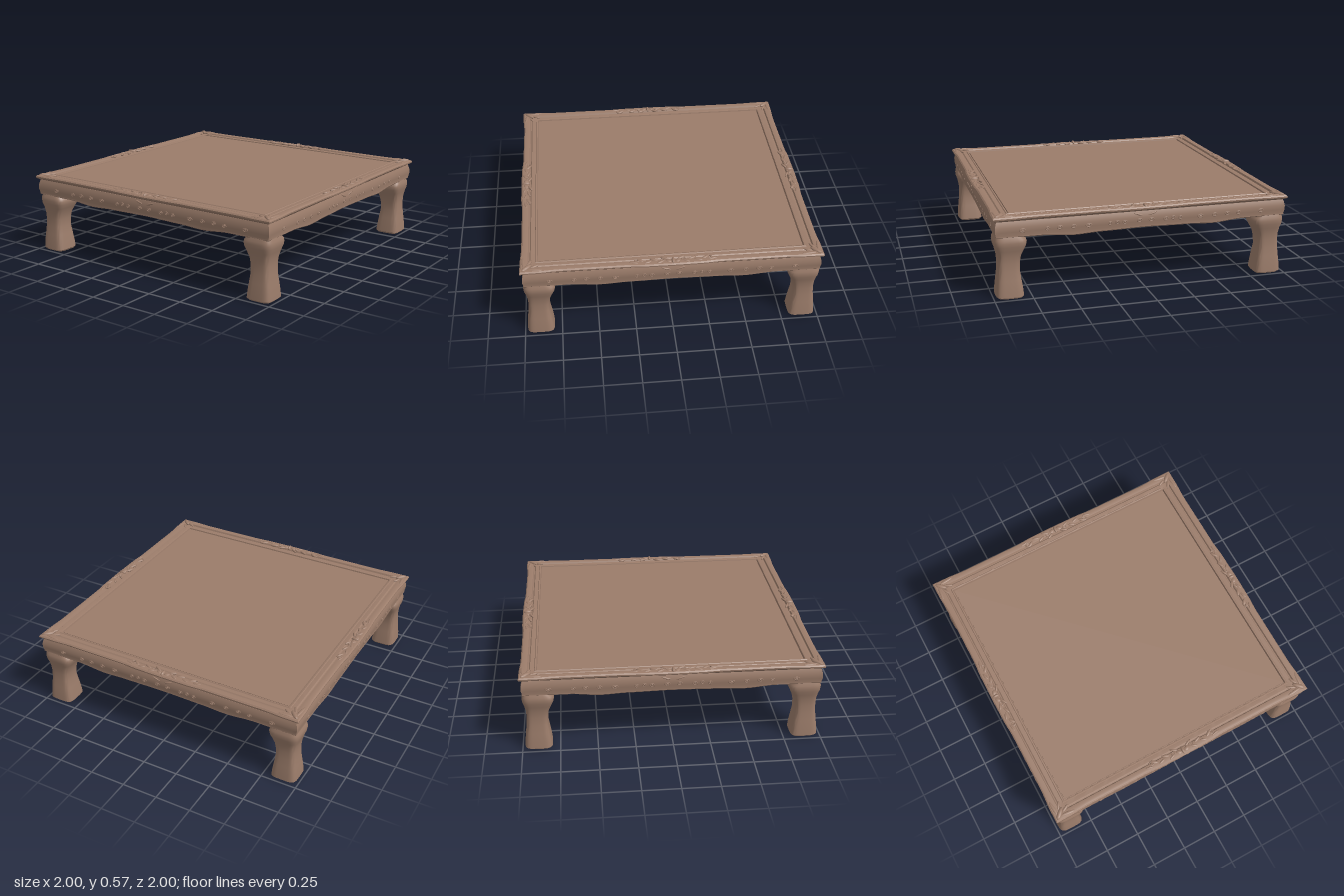
import * as THREE from 'three';
import { toCreasedNormals } from 'three/addons/utils/BufferGeometryUtils.js';

const wood = new THREE.MeshStandardMaterial({ color: 0x9b7c6a });
wood.name = 'brown wood';

function part(name, geometry, parent) {
  const mesh = new THREE.Mesh(geometry, wood);
  mesh.name = name;
  parent.add(mesh);
  return mesh;
}

function build(positions, index, crease) {
  const g = new THREE.BufferGeometry();
  g.setAttribute('position', new THREE.Float32BufferAttribute(positions, 3));
  g.setIndex(index);
  return toCreasedNormals(g, crease);
}

// Sweeps a profile of [distance, height] points round a mitred square;
// the profile may change along each side (u runs from -1 to 1)
function squareRing(profile, steps) {
  const pos = [], idx = [];
  for (let side = 0; side < 4; side++) {
    const c = Math.round(Math.cos(side * Math.PI / 2)), s = Math.round(Math.sin(side * Math.PI / 2));
    for (let i = 0; i <= steps; i++) {
      const u = -1 + 2 * i / steps, pts = profile(u), m = pts.length;
      pts.forEach(([d, y], j) => {
        const x = u * d, a = pos.length / 3;
        pos.push(x * c + d * s, y, -x * s + d * c);
        if (i < steps && j < m - 1) idx.push(a, a + 1, a + m, a + 1, a + m + 1, a + m);
      });
    }
  }
  return build(pos, idx, 0.5);
}

// Smooth interpolation through [x, value] points
function ease(points, x) {
  for (let i = 1; i < points.length; i++) {
    const [x0, a] = points[i - 1], [x1, b] = points[i];
    if (x <= x1) return a + (b - a) * THREE.MathUtils.smoothstep(x, x0, x1);
  }
  return points[points.length - 1][1];
}

const SCALLOP = [[0, 0.408], [0.3, 0.403], [0.48, 0.395], [0.7, 0.411], [1, 0.411]];
const EDGE = [[0, 1], [0.18, 0.998], [0.32, 0.99], [0.75, 0.989], [0.9, 0.997], [1, 0.998]];

// Moulded border of the top, with a gently waving outer edge
function borderProfile(u) {
  const e = ease(EDGE, Math.abs(u));
  return [[0.86, 0.53], [0.88, 0.53], [0.884, 0.547], [0.893, 0.549], [0.897, 0.544], [0.925, 0.545],
    [0.932, 0.538], [0.938, 0.538], [0.944, 0.55], [0.965, 0.554], [e - 0.008, 0.551],
    [e, 0.543], [e - 0.001, 0.534], [e - 0.01, 0.527], [0.972, 0.518], [0.96, 0.515]];
}

// Apron with a scalloped lower edge and a sloping inner face
function apronProfile(u) {
  const b = ease(SCALLOP, Math.abs(u));
  return [[0.96, 0.522], [0.974, 0.518], [0.979, 0.505], [0.985, 0.48], [0.985, 0.45],
    [0.979, 0.425], [0.98, b + 0.006], [0.975, b], [0.955, b], [0.84, 0.457]];
}

// Leg: rounded-square sections as [height, half width, distance of centre]
const LEG = [[0, 0.05, 0.89], [0, 0.08, 0.89], [0.008, 0.083, 0.89], [0.012, 0.091, 0.892], [0.06, 0.087, 0.893],
  [0.12, 0.079, 0.894], [0.18, 0.071, 0.895], [0.235, 0.071, 0.893], [0.28, 0.077, 0.89],
  [0.32, 0.091, 0.885], [0.35, 0.103, 0.883], [0.375, 0.107, 0.882], [0.395, 0.103, 0.884],
  [0.412, 0.09, 0.89], [0.45, 0.08, 0.89]];

function legGeometry(sx, sz) {
  const pos = [], idx = [], n = 40;
  const round = v => Math.sign(v) * Math.pow(Math.abs(v), 0.45);
  LEG.forEach(([y, h, c], r) => {
    for (let i = 0; i < n; i++) {
      const a = i / n * Math.PI * 2;
      pos.push(sx * c + h * round(Math.cos(a)), y, sz * c + h * round(Math.sin(a)));
      const k = r * n + i, k1 = r * n + (i + 1) % n;
      if (r < LEG.length - 1) idx.push(k, k + n, k1, k1, k + n, k1 + n);
    }
  });
  // Sole
  const mid = pos.length / 3;
  pos.push(sx * 0.89, 0.006, sz * 0.89);
  for (let i = 0; i < n; i++) idx.push(mid, i, (i + 1) % n);
  return build(pos, idx, 0.7);
}

const bead = new THREE.SphereGeometry(1, 12, 8);
const curl = new THREE.TorusGeometry(0.75, 0.25, 6, 16);

// Carved shape as a flattened bead or curl
function carve(name, parent, geometry, p, scale, rotation = [0, 0, 0]) {
  const m = part(name, geometry, parent);
  m.position.set(...p);
  m.scale.set(...scale);
  m.rotation.set(...rotation);
}

// Carvings of one side, facing +z
function sideCarving() {
  const g = new THREE.Group();
  g.name = 'sideCarving';
  for (const s of [-1, 1]) {
    // Rosettes on the apron
    for (const [x, y, w] of [[0.04, 0.46, 0.02], [0.14, 0.456, 0.018], [0.19, 0.46, 0.015], [0.24, 0.456, 0.015],
      [0.38, 0.455, 0.023], [0.48, 0.456, 0.019], [0.57, 0.458, 0.02], [0.65, 0.456, 0.018], [0.81, 0.457, 0.022]]) {
      carve('rosetteRing', g, curl, [s * x, y, 0.985], [w, 0.014, 0.012]);
      carve('rosetteHeart', g, bead, [s * x, y, 0.985], [w * 0.4, 0.006, 0.004]);
    }
    // Leaves above the middle rosettes
    carve('apronLeaf', g, bead, [s * 0.045, 0.498, 0.98], [0.035, 0.006, 0.006], [0, 0, s * 0.3]);
    // Scrolls and leaves in the middle of the border
    for (const [x, z, w, d, turn] of [[0.03, 0.965, 0.022, 0.016, 0.5], [0.055, 0.935, 0.03, 0.009, 0.5],
      [0.085, 0.972, 0.028, 0.01, -0.4], [0.125, 0.945, 0.03, 0.01, 0.4], [0.165, 0.967, 0.03, 0.01, -0.3],
      [0.215, 0.945, 0.03, 0.012, 0.6], [0.26, 0.965, 0.035, 0.008, 0.2]])
      carve('borderLeaf', g, bead, [s * x, 0.549, z], [w, 0.009, d], [0, s * turn, 0]);
    carve('borderScroll', g, curl, [s * 0.07, 0.551, 0.955], [0.018, 0.014, 0.02], [Math.PI / 2, 0, 0]);
    carve('borderScroll', g, curl, [s * 0.235, 0.55, 0.945], [0.022, 0.018, 0.02], [Math.PI / 2, 0, 0]);
    // Long leaves running out of the corner
    carve('cornerLeaf', g, bead, [s * 0.9, 0.55, 0.972], [0.055, 0.008, 0.012], [0, s * 0.1, 0]);
    carve('cornerLeaf', g, bead, [s * 0.9, 0.547, 0.935], [0.035, 0.008, 0.01], [0, -s * 0.5, 0]);
  }
  carve('borderShell', g, bead, [0, 0.55, 0.965], [0.012, 0.016, 0.028]);
  // Leaf over the mitred corner
  carve('cornerBoss', g, bead, [0.95, 0.552, 0.95], [0.045, 0.013, 0.016], [0, -Math.PI / 4, 0]);
  return g;
}

export function createModel() {
  const table = new THREE.Group();
  table.name = 'lowTable';

  const panel = part('topPanel', new THREE.BoxGeometry(1.75, 0.085, 1.75), table);
  panel.position.y = 0.4995;
  part('topBorder', squareRing(borderProfile, 64), table);
  part('apron', squareRing(apronProfile, 64), table);

  for (let i = 0; i < 4; i++) {
    const carving = sideCarving();
    carving.rotation.y = i * Math.PI / 2;
    table.add(carving);
  }
  for (const sx of [-1, 1]) for (const sz of [-1, 1]) part('leg', legGeometry(sx, sz), table);
  return table;
}
